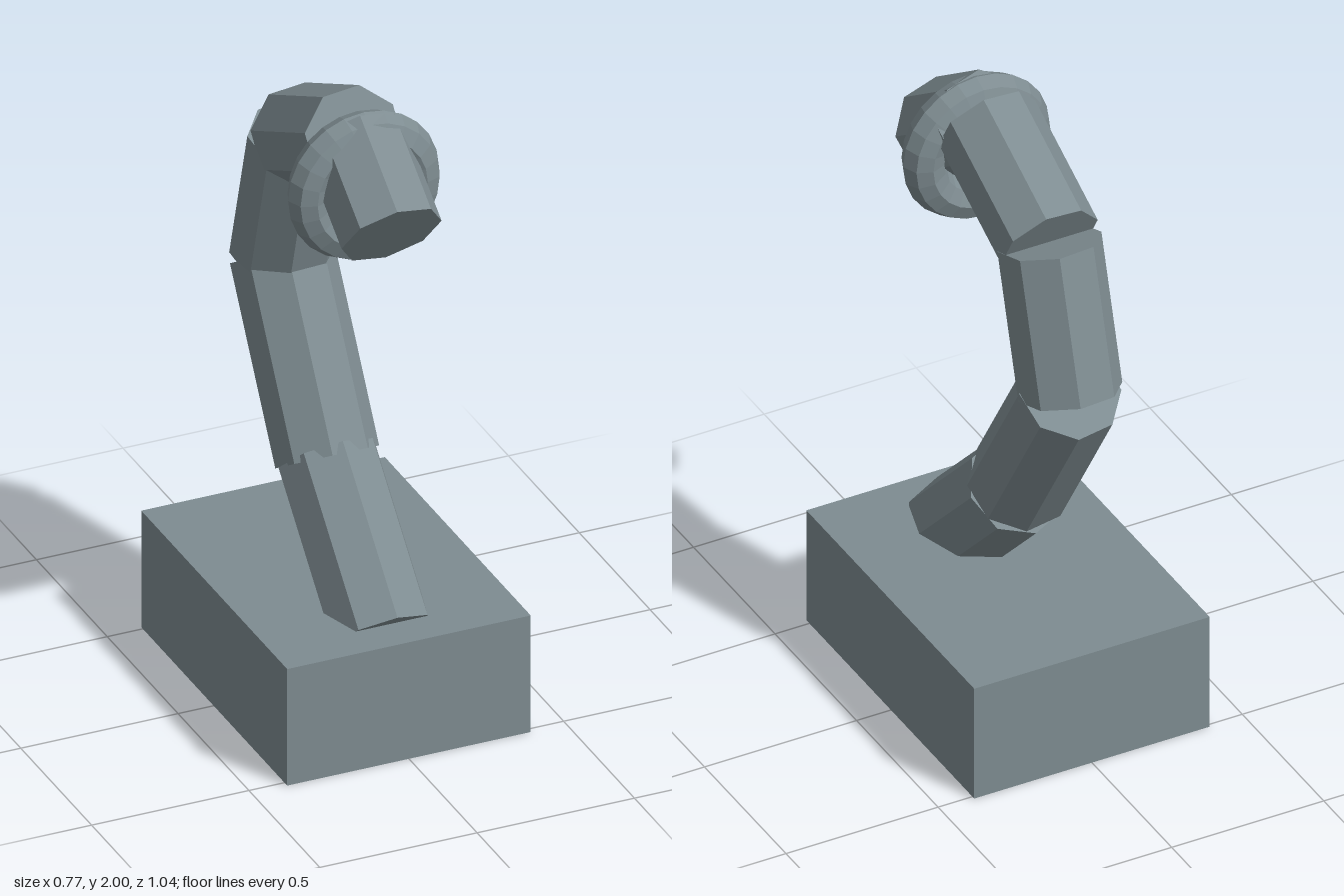
import * as THREE from 'three';

const material = new THREE.MeshStandardMaterial({ color: 0x7e8c91, flatShading: true });
const RADIUS = 0.155;

// Octagonal link running between two [z, y] joints, twisted about its own axis
function link(name, [z0, y0], [z1, y1], twistDeg) {
  const dz = z1 - z0, dy = y1 - y0;
  const twist = -THREE.MathUtils.degToRad(twistDeg);
  const geometry = new THREE.CylinderGeometry(RADIUS, RADIUS, Math.hypot(dz, dy), 8, 1, false, twist);
  const mesh = new THREE.Mesh(geometry, material);
  mesh.name = name;
  mesh.position.set(0, (y0 + y1) / 2, (z0 + z1) / 2);
  mesh.rotation.x = Math.atan2(dz, dy);
  return mesh;
}

export function createModel() {
  const model = new THREE.Group();
  model.name = 'curvedArm';

  // Heavy rectangular base
  const base = new THREE.Mesh(new THREE.BoxGeometry(0.774, 0.387, 1.03), material);
  base.name = 'base';
  base.position.set(0, 0.1935, 0.004);
  model.add(base);

  // Chain of links from inside the base up to the drooping head
  const joints = [
    [0.328, 0.318], [-0.058, 0.708], [-0.378, 1.226],
    [-0.25, 1.677], [0.133, 1.864], [0.396, 1.678],
  ];
  const links = [
    ['lowerNeck', 0], ['middleNeck', 15], ['upperNeck', 16], ['topNeck', 17], ['head', 37],
  ];
  links.forEach(([name, twist], i) => model.add(link(name, joints[i], joints[i + 1], twist)));

  // Collar ring around the head joint
  const collar = new THREE.Mesh(new THREE.TorusGeometry(0.175, 0.065, 8, 24), material);
  collar.name = 'collarRing';
  collar.position.set(0, 1.744, 0.199);
  model.add(collar);

  return model;
}
